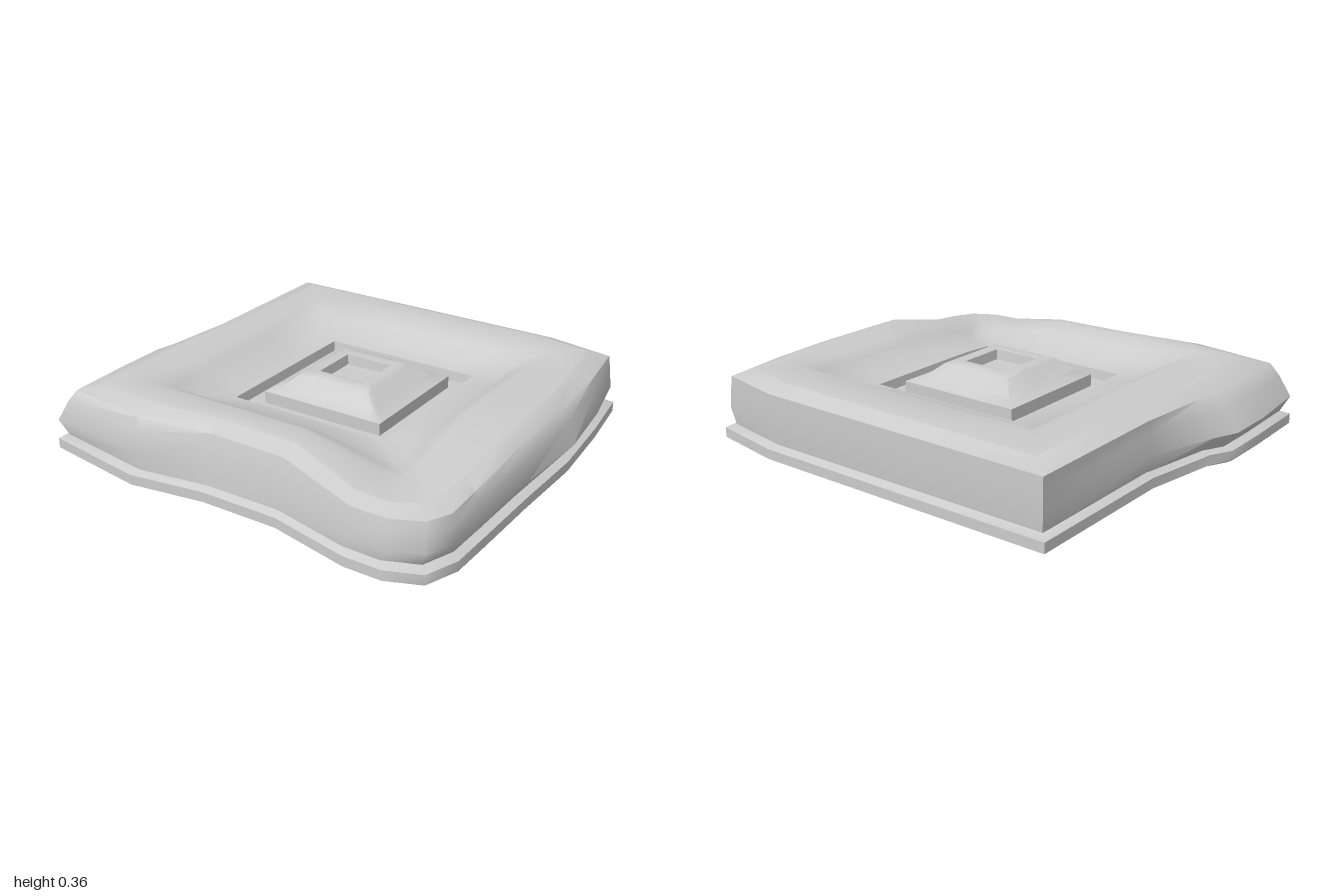
import * as THREE from 'three';
import { toCreasedNormals } from 'three/addons/utils/BufferGeometryUtils.js';

// Matching points round each outline, from the back right corner clockwise seen from above: [x, z]
const flange = [[-0.87, -0.91], [-0.2, -0.91], [0.57, -0.91], [0.91, -0.85], [0.95, -0.55], [0.98, -0.19], [0.97, 0.2], [0.95, 0.52],
  [0.945, 0.7], [0.89, 0.85], [0.74, 0.91], [0.57, 0.91], [0.22, 0.86], [-0.14, 0.86], [-0.48, 0.91], [-0.97, 0.83],
  [-0.98, 0.5], [-0.98, 0.27], [-0.93, 0.17], [-0.87, -0.18]];
const bulge = [[-0.84, -0.88], [-0.2, -0.88], [0.57, -0.88], [0.9, -0.82], [0.96, -0.53], [1, -0.19], [0.98, 0.2], [0.94, 0.52],
  [0.93, 0.7], [0.88, 0.82], [0.74, 0.88], [0.57, 0.88], [0.22, 0.82], [-0.14, 0.82], [-0.48, 0.88], [-0.97, 0.82],
  [-1, 0.5], [-1, 0.27], [-0.95, 0.15], [-0.85, -0.18]];
const wallTop = [[-0.84, -0.88], [-0.2, -0.88], [0.57, -0.88], [0.88, -0.82], [0.92, -0.53], [0.94, -0.19], [0.94, 0.2], [0.91, 0.52],
  [0.91, 0.7], [0.86, 0.8], [0.73, 0.86], [0.57, 0.86], [0.22, 0.79], [-0.14, 0.79], [-0.48, 0.84], [-0.88, 0.78],
  [-0.89, 0.5], [-0.89, 0.25], [-0.87, 0.15], [-0.84, -0.18]];
const rim = [[-0.75, -0.8], [-0.2, -0.8], [0.55, -0.8], [0.8, -0.75], [0.84, -0.48], [0.865, -0.19], [0.865, 0.2], [0.845, 0.5],
  [0.83, 0.67], [0.79, 0.74], [0.7, 0.79], [0.55, 0.79], [0.22, 0.71], [-0.14, 0.71], [-0.48, 0.74], [-0.78, 0.7],
  [-0.79, 0.45], [-0.8, 0.2], [-0.79, 0.1], [-0.75, -0.2]];
// The same points laid out on a unit square, for the inner rings
const square = [[-1, -1], [-0.25, -1], [0.65, -1], [1, -1], [1, -0.6], [1, -0.2], [1, 0.25], [1, 0.6],
  [1, 0.85], [1, 1], [0.85, 1], [0.65, 1], [0.25, 1], [-0.2, 1], [-0.6, 1], [-1, 1],
  [-1, 0.6], [-1, 0.3], [-1, 0.15], [-1, -0.25]];

const ease = (v) => THREE.MathUtils.smoothstep(v, 0.15, 0.62);

// A ring at height y whose front left corner sags by the given amount
const ring = (outline, y, sag = 0) =>
  outline.map(([x, z]) => [x, y - sag * ease(x) * ease(z), z]);

// A rectangular ring
const rect = (x0, x1, z0, z1, y, sag = 0) =>
  ring(square.map(([u, v]) => [
    x0 + (x1 - x0) * (u + 1) / 2,
    z0 + (z1 - z0) * (v + 1) / 2,
  ]), y, sag);

const inset = (outline, k) => outline.map(([x, z]) => [x * k, z * k]);

// Skin a sequence of rings
function loft(name, rings, crease = 0.9) {
  const n = square.length;
  const index = [];
  for (let i = 0; i < rings.length - 1; i++) {
    for (let j = 0; j < n; j++) {
      const a = i * n + j, b = i * n + (j + 1) % n;
      const c = a + n, d = b + n;
      index.push(a, c, b, b, c, d);
    }
  }
  const geometry = new THREE.BufferGeometry();
  geometry.setAttribute('position', new THREE.Float32BufferAttribute(rings.flat(2), 3));
  geometry.setIndex(index);
  const material = new THREE.MeshStandardMaterial({ color: 0xcccccc, side: THREE.DoubleSide });
  const mesh = new THREE.Mesh(toCreasedNormals(geometry, crease), material);
  mesh.name = name;
  return mesh;
}

export function createModel() {
  const group = new THREE.Group();
  group.name = 'squareBasin';

  // Underside and projecting foot
  group.add(loft('foot', [
    ring(inset(flange, 0), 0.03),
    ring(inset(flange, 0.5), 0.03, 0.03),
    ring(inset(flange, 0.98), 0.03, 0.03),
    ring(flange, 0.04, 0.03),
    ring(flange, 0.085, 0.03),
    ring(inset(flange, 0.96), 0.1, 0.03),
  ]));

  // Bulging outer wall, rounded into the rim
  const middle = bulge.map(([x, z], i) => [x * 0.45 + wallTop[i][0] * 0.55, z * 0.45 + wallTop[i][1] * 0.55]);
  group.add(loft('outerWall', [
    ring(inset(flange, 0.96), 0.095, 0.03),
    ring(bulge, 0.17, 0.05),
    ring(middle, 0.265, 0.065),
    ring(wallTop, 0.32, 0.075),
    ring(rim, 0.35, 0.08),
  ]));

  // Broad rim sloping down into the sunken floor
  group.add(loft('rimAndFloor', [
    ring(rim, 0.35, 0.08),
    rect(-0.61, 0.66, -0.63, 0.62, 0.363, 0.085),
    rect(-0.54, 0.6, -0.56, 0.55, 0.33, 0.08),
    rect(-0.47, 0.54, -0.5, 0.48, 0.285, 0.06),
    rect(-0.34, 0.41, -0.39, 0.37, 0.265, 0.04),
    rect(-0.335, 0.405, -0.385, 0.365, 0.22),
    rect(-0.25, 0.32, -0.3, 0.26, 0.22),
  ]));

  // Central pedestal with a square socket in its top
  group.add(loft('pedestal', [
    rect(-0.26, 0.33, -0.31, 0.27, 0.22),
    rect(-0.26, 0.33, -0.31, 0.27, 0.275),
    rect(-0.2, 0.27, -0.25, 0.22, 0.295),
    rect(-0.14, 0.21, -0.18, 0.17, 0.35),
    rect(-0.12, 0.18, -0.155, 0.14, 0.36),
    rect(-0.08, 0.145, -0.115, 0.105, 0.355),
    rect(-0.075, 0.14, -0.11, 0.1, 0.31),
    rect(0.03, 0.03, 0, 0, 0.305),
  ]));

  return group;
}
